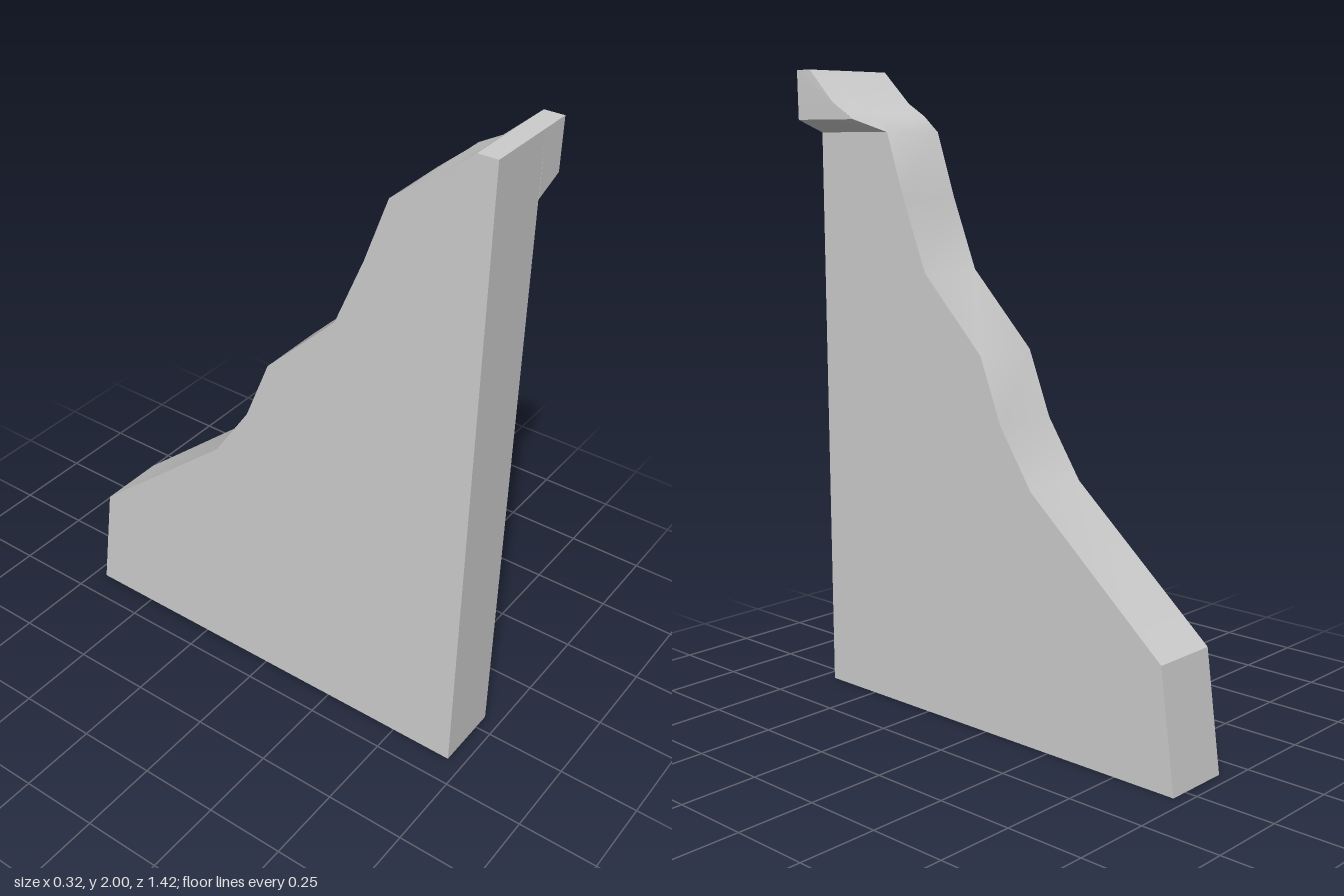
import * as THREE from 'three';
import { toCreasedNormals } from 'three/addons/utils/BufferGeometryUtils.js';

const stone = new THREE.MeshStandardMaterial({ color: 0xcccccc });
stone.name = 'pale grey';

// Prism of a (z, y) side profile between two x positions; adjust may move vertices
function prism(name, profile, x0, x1, adjust) {
  const shape = new THREE.Shape(profile.map(([z, y]) => new THREE.Vector2(z, y)));
  const geo = new THREE.ExtrudeGeometry(shape, { depth: x1 - x0, bevelEnabled: false });
  geo.rotateY(-Math.PI / 2).translate(x1, 0, 0);
  if (adjust) {
    const pos = geo.attributes.position;
    const v = new THREE.Vector3();
    for (let i = 0; i < pos.count; i++) {
      adjust(v.fromBufferAttribute(pos, i));
      pos.setXYZ(i, v.x, v.y, v.z);
    }
  }
  geo.clearGroups();
  const mesh = new THREE.Mesh(toCreasedNormals(geo, 0.56), stone);
  mesh.name = name;
  return mesh;
}

export function createModel() {
  const group = new THREE.Group();
  group.name = 'buttress';
  const inner = 0.055, outer = 0.158;

  // Upper sloping edge, shared by the wall and the lip
  const crest = [[0.41, 1.81], [0.47, 1.86], [0.54, 1.9], [0.65, 2], [0.71, 2]];

  // Tall slab with a stepped, sloping back edge
  group.add(prism('wall', [
    [0.7, 0], [-0.71, 0], [-0.66, 0.37], [-0.18, 0.78], [-0.06, 0.96],
    [0.02, 1.16], [0.25, 1.39], [0.34, 1.61], ...crest,
  ], -0.163, inner));

  // Overhanging lip on one side, its underside rising outwards
  group.add(prism('lip', [[0.71, 1.81], ...crest], inner, outer, (v) => {
    if (v.x < 0.1) return;
    if (v.y < 1.82) {
      v.set(0.15, 1.848, v.z < 0.5 ? 0.458 : v.z);
    } else if (v.y > 1.99) {
      v.x = 0.153;
    }
  }));
  return group;
}
